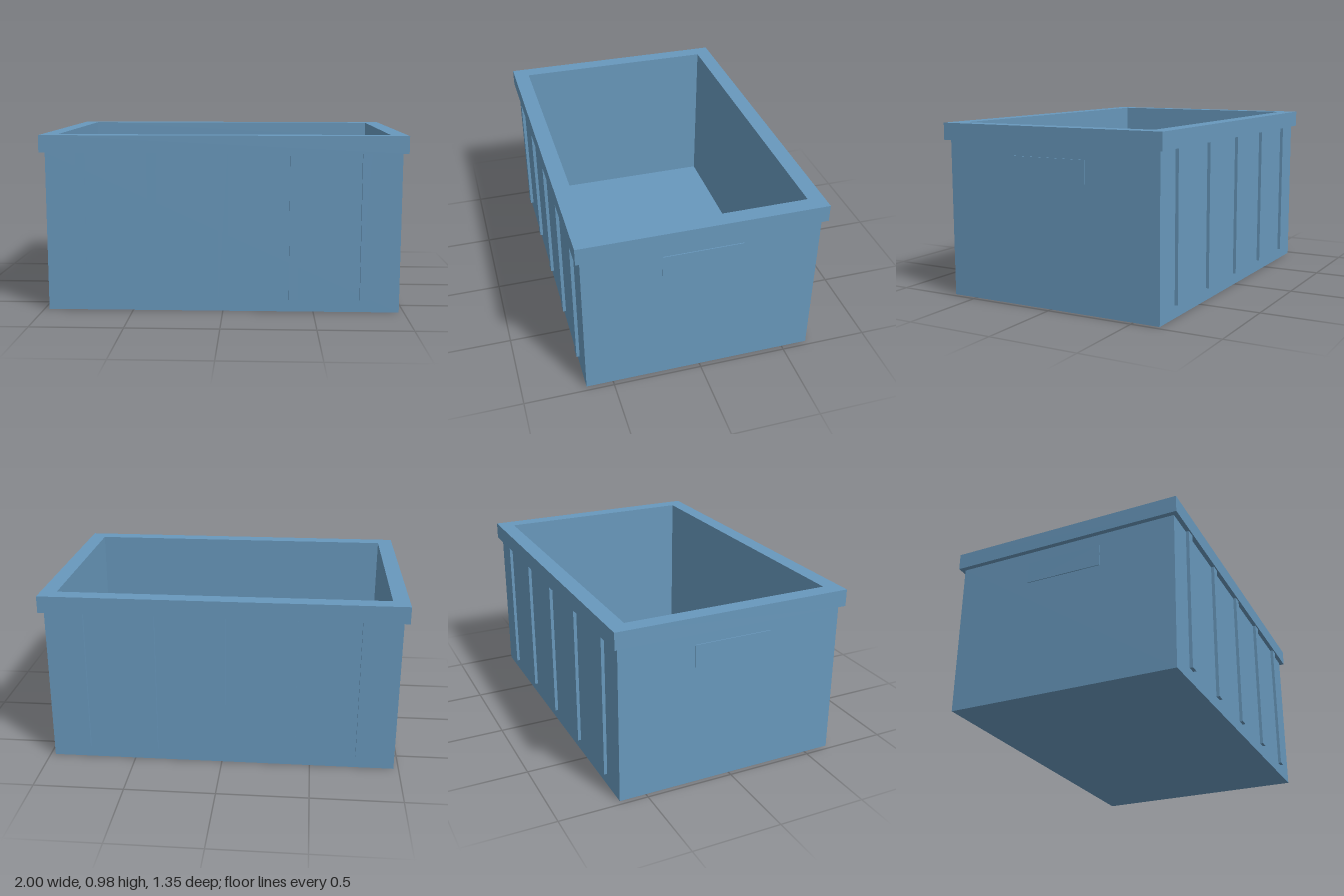
import * as THREE from 'three';

const blue = new THREE.MeshStandardMaterial({ name: 'blue plastic', color: 0x6898bc });

// Rectangular tube: outer half sizes, shared opening, from y0 to y1
function frame(name, hx, hz, y0, y1) {
  const shape = new THREE.Shape([[-hx, -hz], [hx, -hz], [hx, hz], [-hx, hz]].map(p => new THREE.Vector2(...p)));
  const ox = 0.91, oz = 0.585;
  shape.holes.push(new THREE.Path([[-ox, -oz], [-ox, oz], [ox, oz], [ox, -oz]].map(p => new THREE.Vector2(...p))));
  const geo = new THREE.ExtrudeGeometry(shape, { depth: y1 - y0, bevelEnabled: false });
  geo.rotateX(-Math.PI / 2).translate(0, y0, 0);
  const mesh = new THREE.Mesh(geo, blue);
  mesh.name = name;
  return mesh;
}

function box(name, w, h, d, x, y, z) {
  const mesh = new THREE.Mesh(new THREE.BoxGeometry(w, h, d), blue);
  mesh.name = name;
  mesh.position.set(x, y, z);
  return mesh;
}

export function createModel() {
  const crate = new THREE.Group();
  crate.name = 'storageCrate';

  // Walls, floor and overhanging rim
  crate.add(frame('walls', 0.972, 0.65, 0, 0.88));
  crate.add(box('floor', 1.82, 0.06, 1.17, 0, 0.03, 0));
  crate.add(frame('rim', 1, 0.675, 0.88, 0.975));

  // Vertical ribs on the long sides
  for (const side of [1, -1]) {
    for (let i = -2; i <= 2; i++) {
      crate.add(box(side > 0 ? 'frontRib' : 'backRib', 0.05, 0.81, 0.04, i * 0.39, 0.475, side * 0.648));
    }
    // Shallow grip plate on each end
    crate.add(box(side > 0 ? 'leftGrip' : 'rightGrip', 0.009, 0.125, 0.44, side * 0.9725, 0.75, 0));
  }
  return crate;
}
